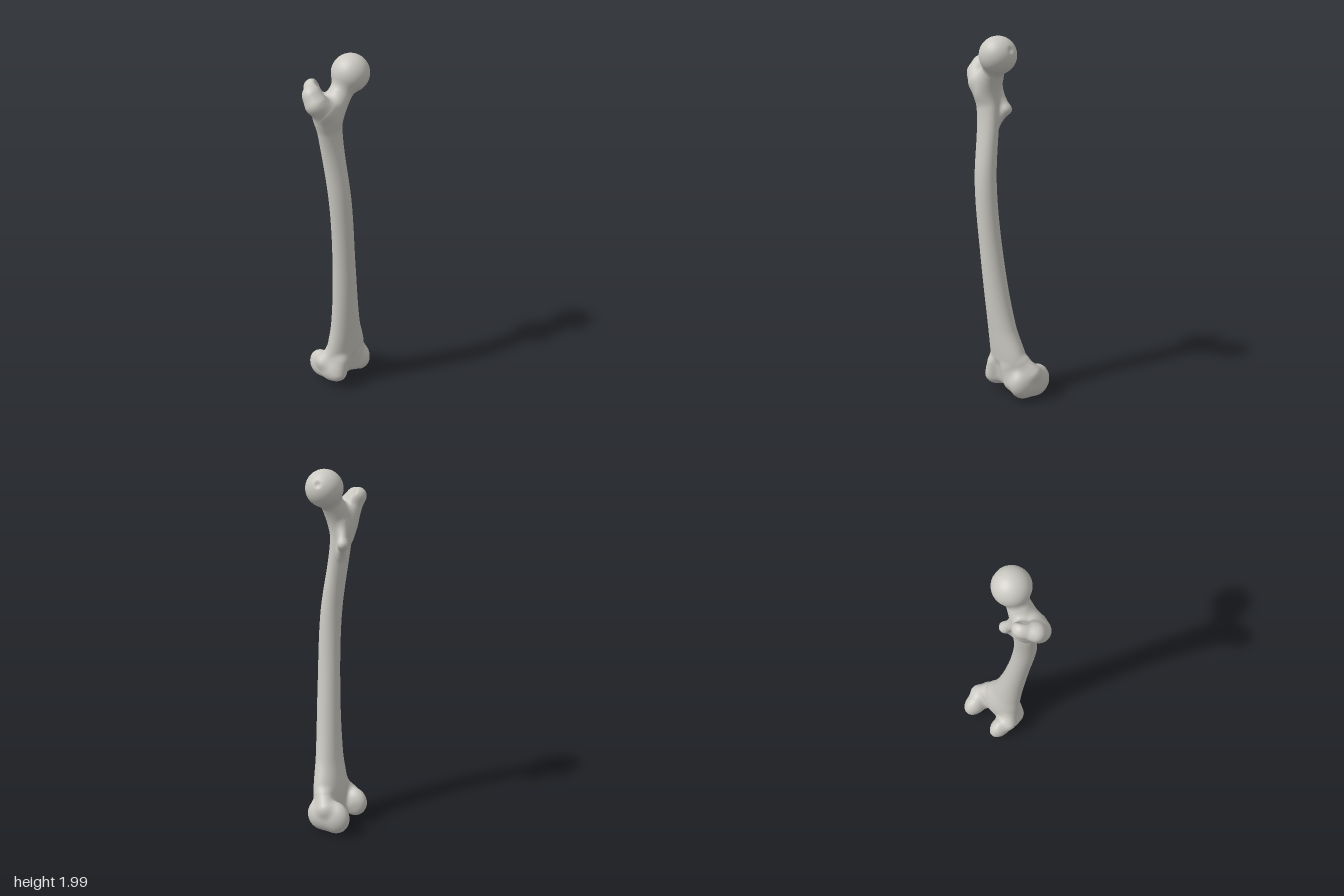
import * as THREE from 'three';
import { mergeVertices } from 'three/addons/utils/BufferGeometryUtils.js';

// Smooth blends of distances: union and intersection with a fillet of width k
const smoothMin = (a, b, k) => {
  const h = Math.max(k - Math.abs(a - b), 0) / k;
  return Math.min(a, b) - h * h * k / 4;
};
const smoothMax = (a, b, k) => -smoothMin(-a, -b, k);

// Distance to a chain of tapered capsules through points [x, y, z, radius]
function chain(...points) {
  return (x, y, z) => {
    let d = Infinity;
    for (let i = 1; i < points.length; i++) {
      const [ax, ay, az, ar] = points[i - 1], [bx, by, bz, br] = points[i];
      const ex = bx - ax, ey = by - ay, ez = bz - az, px = x - ax, py = y - ay, pz = z - az;
      const along = (px * ex + py * ey + pz * ez) / (ex * ex + ey * ey + ez * ez);
      const t = Math.min(1, Math.max(0, along));
      d = smoothMin(d, Math.hypot(px - ex * t, py - ey * t, pz - ez * t) - ar - (br - ar) * t, 0.02);
    }
    return d;
  };
}

// Distance to an ellipsoid
function ellipsoid([cx, cy, cz], [rx, ry, rz]) {
  return (x, y, z) => {
    const px = (x - cx) / rx, py = (y - cy) / ry, pz = (z - cz) / rz;
    const q = Math.max(1e-4, Math.hypot(px, py, pz));
    return q * (q - 1) / Math.max(1e-4, Math.hypot(px / rx, py / ry, pz / rz));
  };
}
const ball = (centre, r) => ellipsoid(centre, [r, r, r]);

// Distance to a bowed column with elliptical sections [y, xMin, xMax, zMin, zMax]
function column(...rows) {
  const curve = new THREE.CubicInterpolant(rows.map(r => r[0]), rows.flatMap(r => r.slice(1)), 4);
  const low = rows[0][0], high = rows[rows.length - 1][0];
  return (x, y, z) => {
    const [x0, x1, z0, z1] = curve.evaluate(Math.min(high - 1e-4, Math.max(low + 1e-4, y)));
    const rx = (x1 - x0) / 2, rz = (z1 - z0) / 2;
    const px = (x - (x0 + x1) / 2) / rx, pz = (z - (z0 + z1) / 2) / rz;
    const q = Math.max(1e-4, Math.hypot(px, pz));
    const side = q * (q - 1) / Math.max(1e-4, Math.hypot(px / rx, pz / rz));
    return smoothMax(side, Math.max(low - y, y - high), 0.05);
  };
}

const forms = [], hollows = [];
const add = (part, blend, dist) => forms.push({ part, blend, dist });
const carve = (blend, dist) => hollows.push({ blend, dist });

// Shaft, flaring towards the knee
add('shaft', 0.01, column(
  [0.06, -0.07, 0.18, -0.05, 0.065],
  [0.2, -0.075, 0.195, -0.065, 0.09],
  [0.4, -0.065, 0.122, -0.03, 0.11],
  [0.8, -0.085, 0.043, 0.01, 0.135],
  [1.2, -0.127, 0, 0.024, 0.14],
  [1.6, -0.175, -0.02, -0.01, 0.092],
  [1.78, -0.225, -0.02, -0.01, 0.1]));

// Hip end: neck, ball with its pit, and the two knobs
add('neck', 0.05, chain([-0.11, 1.7, 0.04, 0.066], [0.02, 1.88, 0.065, 0.058]));
add('head', 0.025, ball([0.03, 1.9, 0.067], 0.101));
add('greaterTrochanter', 0.04, chain(
  [-0.16, 1.74, 0.068, 0.044], [-0.195, 1.785, 0.035, 0.056], [-0.2, 1.825, 0.01, 0.046],
  [-0.145, 1.842, -0.036, 0.042], [-0.11, 1.62, 0.005, 0.025]));
add('lesserTrochanter', 0.03, chain(
  [-0.05, 1.53, 0.012, 0.018], [-0.015, 1.6, -0.02, 0.026], [-0.055, 1.7, 0.005, 0.022]));
carve(0.012, ball([0.134, 1.937, 0.05], 0.018));
carve(0.03, ball([-0.115, 1.87, 0.005], 0.034));

// Knee end: a rounded runner, an outer bump and a front lip on each side
function addCondyle(part, out, x, size, y, lipX, lipZ) {
  const s = size;
  add(part, 0.03, ellipsoid([x, y, -0.078], [0.057 * s, 0.087 * s, 0.086 * s]));
  add(part, 0.03, ellipsoid([x, y, 0], [0.062 * s, 0.083 * s, 0.08 * s]));
  add(part, 0.03, chain(
    [x + out * 0.028, 0.155, -0.04, 0.043 * s], [x - out * 0.01, 0.21, -0.01, 0.036 * s]));
  add(part, 0.03, chain([lipX, 0.1, lipZ, 0.045], [lipX - out * 0.02, 0.175, lipZ, 0.045]));
}
addCondyle('medialCondyle', 1, 0.175, 1.06, 0.1, 0.12, 0.037);
addCondyle('lateralCondyle', -1, -0.04, 0.94, 0.112, -0.04, 0.05);
carve(0.03, chain([0.05, 0.04, 0.11, 0.04], [0.045, 0.17, 0.126, 0.038]));
carve(0.03, chain([0.06, 0, -0.03, 0.036], [0.062, 0.1, -0.15, 0.046]));

function field(x, y, z) {
  let d = 1;
  for (const { blend, dist } of forms) d = smoothMin(d, dist(x, y, z), blend);
  for (const { blend, dist } of hollows) d = smoothMax(d, -dist(x, y, z), blend);
  return d;
}

function gradient(x, y, z, e = 0.003) {
  return new THREE.Vector3(
    field(x + e, y, z) - field(x - e, y, z),
    field(x, y + e, z) - field(x, y - e, z),
    field(x, y, z + e) - field(x, y, z - e)).divideScalar(2 * e);
}

// Name of the form that lies nearest to a point
function partAt({ x, y, z }) {
  let best = Infinity, name;
  for (const { part, dist } of forms) {
    const d = dist(x, y, z);
    if (d < best) { best = d; name = part; }
  }
  return name;
}

// Skin the blended forms with a net of quads, sorted by part
function skin() {
  const step = 0.008, origin = [-0.29, -0.03, -0.21], size = [74, 258, 53];
  const stride = [1, size[0], size[0] * size[1]];
  const values = new Float32Array(size[0] * size[1] * size[2]).fill(1);
  const each = (from, visit) => {
    for (let k = from; k < size[2] - 1; k++)
      for (let j = from; j < size[1] - 1; j++)
        for (let i = from; i < size[0] - 1; i++) visit([i, j, k], i + j * stride[1] + k * stride[2]);
  };
  each(0, (cell, n) => { values[n] = field(...cell.map((v, a) => origin[a] + v * step)); });

  // One vertex in every cell that the surface crosses
  const cells = new Map();
  each(0, (cell, n) => {
    const sum = [0, 0, 0];
    let count = 0;
    for (let a = 0; a < 3; a++) {
      const b = (a + 1) % 3, c = (a + 2) % 3;
      for (let m = 0; m < 4; m++) {
        const u = m & 1, v = m >> 1, s = n + u * stride[b] + v * stride[c];
        const f0 = values[s], f1 = values[s + stride[a]];
        if ((f0 < 0) === (f1 < 0)) continue;
        sum[a] += f0 / (f0 - f1);
        sum[b] += u;
        sum[c] += v;
        count++;
      }
    }
    if (!count) return;
    const point = new THREE.Vector3(...sum.map((v, a) => origin[a] + (cell[a] + v / count) * step));
    const g = gradient(point.x, point.y, point.z);
    point.addScaledVector(g, -field(point.x, point.y, point.z) / Math.max(0.2, g.lengthSq()));
    const normal = gradient(point.x, point.y, point.z).normalize();
    cells.set(n, { point, normal, part: partAt(point) });
  });

  // One quad round every grid edge that the surface crosses
  const parts = {};
  each(1, (cell, n) => {
    for (let a = 0; a < 3; a++) {
      const inside = values[n] < 0;
      if (inside === (values[n + stride[a]] < 0)) continue;
      const b = stride[(a + 1) % 3], c = stride[(a + 2) % 3];
      const quad = [n - b - c, n - c, n, n - b].map(i => cells.get(i));
      if (!inside) quad.reverse();
      const part = parts[quad[0].part] ??= { position: [], normal: [] };
      for (const i of [0, 1, 2, 0, 2, 3]) {
        part.position.push(...quad[i].point.toArray());
        part.normal.push(...quad[i].normal.toArray());
      }
    }
  });
  return parts;
}

export function createModel() {
  const bone = new THREE.MeshStandardMaterial({ color: 0xcbc9c2 });
  bone.name = 'bone';
  const model = new THREE.Group();
  model.name = 'thighBone';
  for (const [name, { position, normal }] of Object.entries(skin())) {
    const geometry = new THREE.BufferGeometry();
    geometry.setAttribute('position', new THREE.Float32BufferAttribute(position, 3));
    geometry.setAttribute('normal', new THREE.Float32BufferAttribute(normal, 3));
    const mesh = new THREE.Mesh(mergeVertices(geometry, 1e-5), bone);
    mesh.name = name;
    model.add(mesh);
  }
  return model;
}
